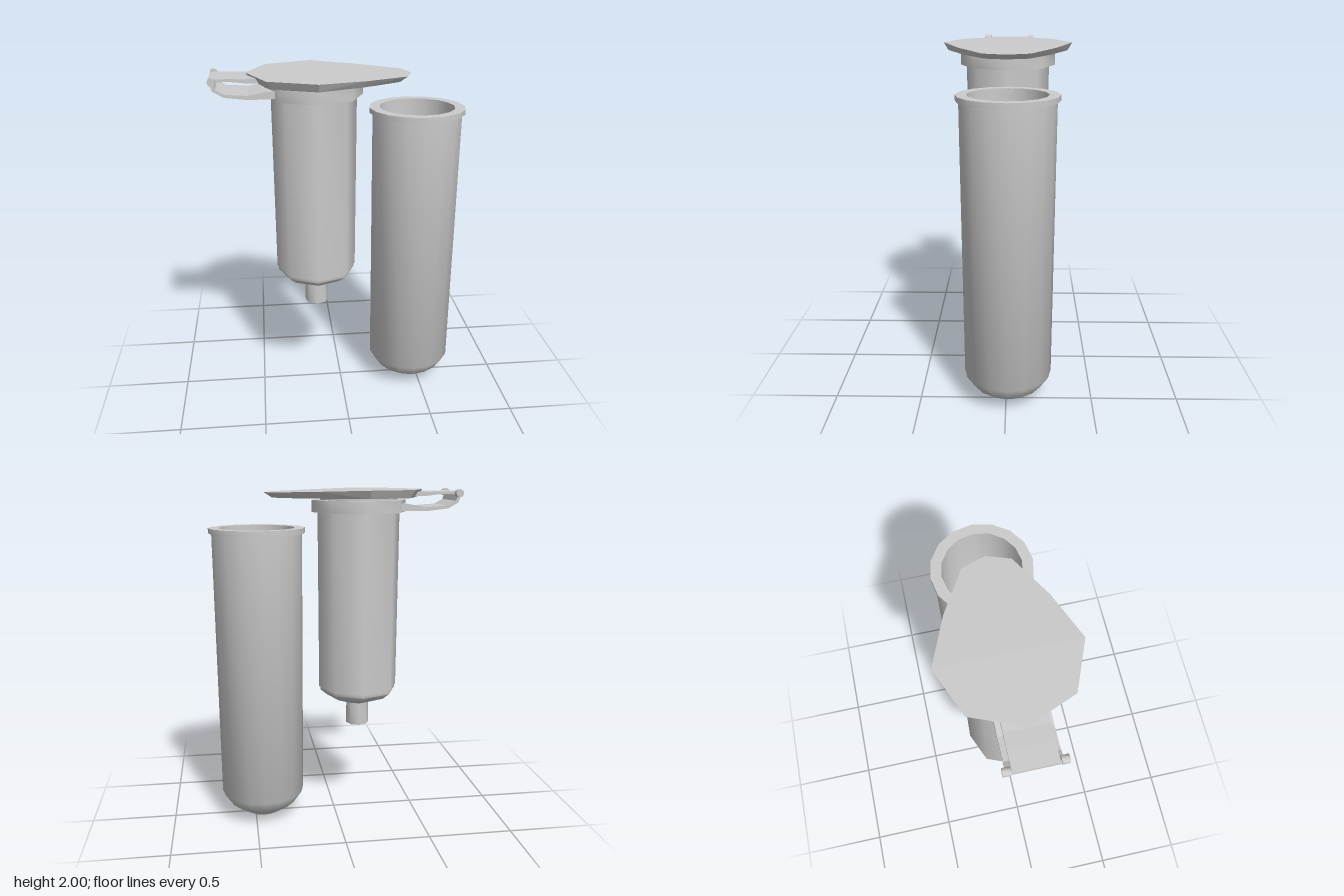
import * as THREE from 'three';
import { toCreasedNormals } from 'three/addons/utils/BufferGeometryUtils.js';
import { ConvexGeometry } from 'three/addons/geometries/ConvexGeometry.js';

const smooth = new THREE.MeshStandardMaterial({ color: 0xcccccc, side: THREE.DoubleSide });
const flat = new THREE.MeshStandardMaterial({ color: 0xcccccc, flatShading: true });

function add(parent, name, geometry, material = smooth) {
  const mesh = new THREE.Mesh(geometry, material);
  mesh.name = name;
  parent.add(mesh);
  return mesh;
}

// Turned part from [radius, height] pairs, listed up the outside and down the inside
function turned(profile, sides) {
  const points = profile.map(([r, y]) => new THREE.Vector2(r, y));
  return toCreasedNormals(new THREE.LatheGeometry(points, sides), 0.9);
}

// Side outline in x/y given a width along z, centred on z = 0
function strap(outline, width) {
  const shape = new THREE.Shape(outline.map(([x, y]) => new THREE.Vector2(x, y)));
  return new THREE.ExtrudeGeometry(shape, { depth: width, bevelEnabled: false }).translate(0, 0, -width / 2);
}

export function createModel() {
  const model = new THREE.Group();
  model.name = 'spinColumnAndTube';

  // Open round-bottomed collection tube
  const tube = new THREE.Group();
  tube.name = 'collectionTube';
  tube.position.set(0.45, 0, -0.01);
  model.add(tube);
  add(tube, 'tubeWall', turned([
    [0, 0.005], [0.11, 0.03], [0.2, 0.09], [0.252, 0.165], [0.262, 1.755],
    [0.28, 1.755], [0.28, 1.785], [0.22, 1.785],
    [0.212, 0.19], [0.17, 0.12], [0.09, 0.07], [0, 0.05],
  ], 16));

  // Octagonal column with tapered base and collar
  const column = new THREE.Group();
  column.name = 'column';
  column.position.x = -0.15;
  model.add(column);
  add(column, 'columnBody', turned([
    [0.07, 0.71], [0.19, 0.755], [0.232, 0.79], [0.232, 0.812], [0.24, 0.812], [0.245, 1.87],
  ], 8));
  add(column, 'collar', turned([
    [0.24, 1.87], [0.28, 1.87], [0.28, 1.94], [0.21, 1.94], [0.21, 1.87], [0.24, 1.87],
  ], 8));
  add(column, 'nozzle', turned([
    [0.06, 0.57], [0.07, 0.57], [0.07, 0.715], [0.06, 0.715], [0.06, 0.57],
  ], 8));
  add(column, 'lidPlug', turned([[0, 1.9], [0.23, 1.9], [0.23, 1.96], [0, 1.96]], 8));

  // Lid plate: an octagon drawn out into a thumb tab, tapering underneath
  const half = [[-0.38, 0], [-0.27, 0.27], [0, 0.38], [0.27, 0.27], [0.51, 0.13], [0.555, 0]];
  const lidPoints = [];
  for (const [x, z] of half) {
    for (const s of [-1, 1]) {
      lidPoints.push(new THREE.Vector3(x, x > 0 ? 2 - x * 0.028 : 2, s * z));
      lidPoints.push(new THREE.Vector3(x * 0.92, 1.955, s * z * 0.93));
    }
  }
  add(column, 'lid', new ConvexGeometry(lidPoints), flat);

  // Folded hinge strap joining the collar to the lid
  const hinge = new THREE.Group();
  hinge.name = 'hinge';
  model.add(hinge);
  add(hinge, 'lowerStrap', strap([
    [-0.36, 1.88], [-0.52, 1.877], [-0.65, 1.892], [-0.71, 1.925], [-0.73, 1.98],
    [-0.71, 1.98], [-0.695, 1.935], [-0.645, 1.908], [-0.52, 1.9], [-0.42, 1.918], [-0.36, 1.918],
  ], 0.28), flat);
  add(hinge, 'upperStrap', strap([
    [-0.73, 1.97], [-0.62, 1.973], [-0.53, 1.963], [-0.45, 1.96],
    [-0.45, 1.99], [-0.53, 1.985], [-0.62, 1.988], [-0.73, 1.988],
  ], 0.23), flat);

  // Hinge pins at both sides
  for (const s of [-1, 1]) {
    const pin = add(hinge, 'hingePin', toCreasedNormals(new THREE.CylinderGeometry(0.023, 0.023, 0.04, 8), 0.9));
    pin.rotation.x = Math.PI / 2;
    pin.position.set(-0.713, 1.978, s * 0.14);
  }
  return model;
}
